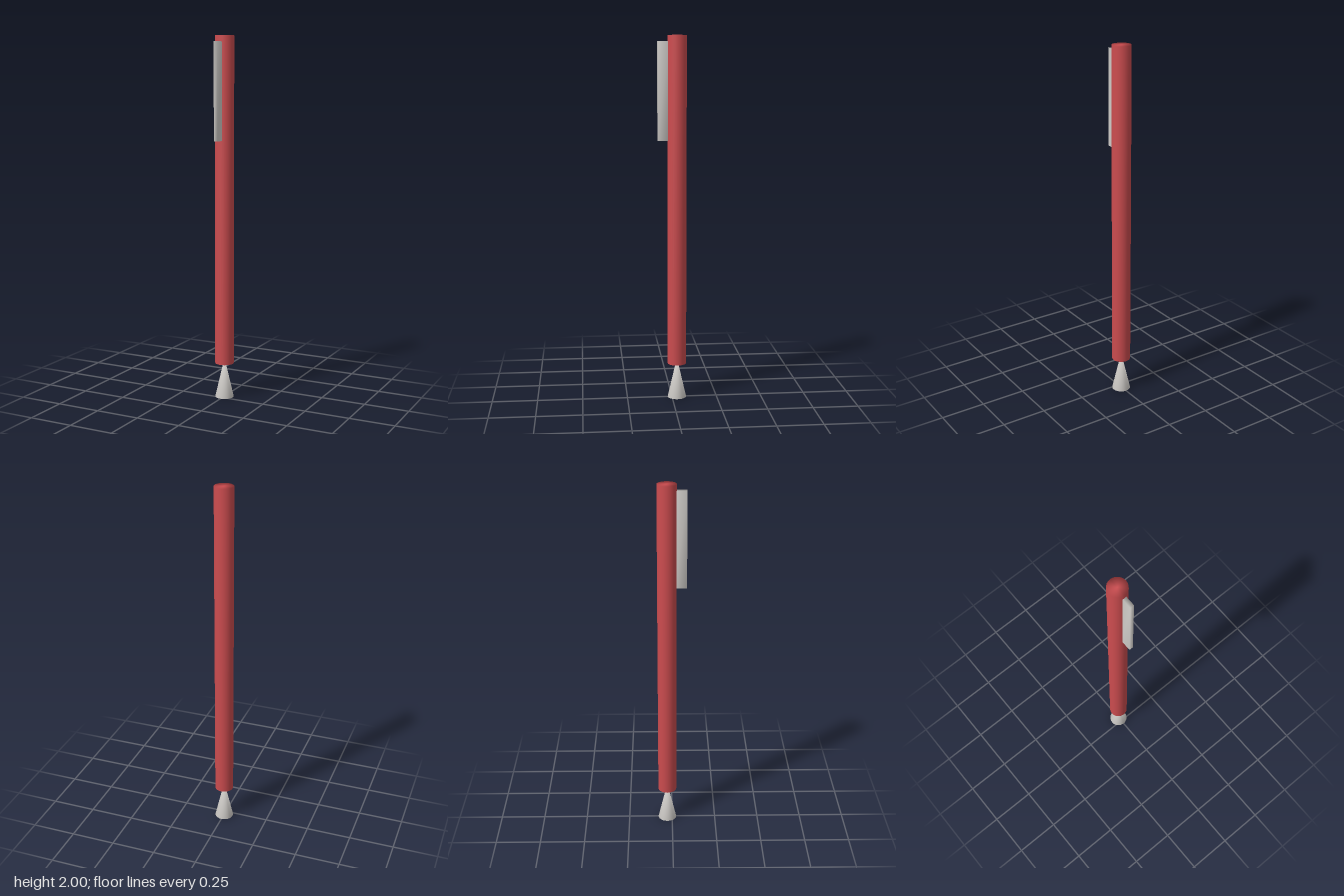
import * as THREE from 'three';
import { mergeVertices } from 'three/addons/utils/BufferGeometryUtils.js';

// Share vertices across edges so each part shades softly all over
function soften(geometry) {
  geometry.deleteAttribute('normal');
  geometry.deleteAttribute('uv');
  const merged = mergeVertices(geometry, 1e-4);
  merged.computeVertexNormals();
  return merged;
}

export function createModel() {
  const group = new THREE.Group();
  group.name = 'pen';

  const red = new THREE.MeshStandardMaterial({ color: 0xcc4c4f });
  red.name = 'red';
  const silver = new THREE.MeshStandardMaterial({ color: 0xd2cfcb });
  silver.name = 'silver';

  const radius = 0.052, axisZ = -0.028, sides = 24;
  const bodyBottom = 0.195, bodyTop = 2;

  function add(name, geometry, material, y, z) {
    const mesh = new THREE.Mesh(soften(geometry), material);
    mesh.name = name;
    mesh.position.set(0, y, z);
    group.add(mesh);
  }

  // Long barrel
  const bodyHeight = bodyTop - bodyBottom;
  add('barrel', new THREE.CylinderGeometry(radius, radius, bodyHeight, sides), red,
    bodyBottom + bodyHeight / 2, axisZ);

  // Flared tip: its point sits just inside the barrel
  const tipHeight = 0.225;
  add('tip', new THREE.ConeGeometry(radius, tipHeight, sides), silver, tipHeight / 2, axisZ);

  // Pocket clip: a slim upright bar sunk slightly into the barrel
  const clipBack = 0.015, clipFront = 0.078, clipBottom = 1.44, clipTop = 1.967;
  add('clip', new THREE.BoxGeometry(0.022, clipTop - clipBottom, clipFront - clipBack), silver,
    (clipTop + clipBottom) / 2, (clipFront + clipBack) / 2);

  return group;
}
